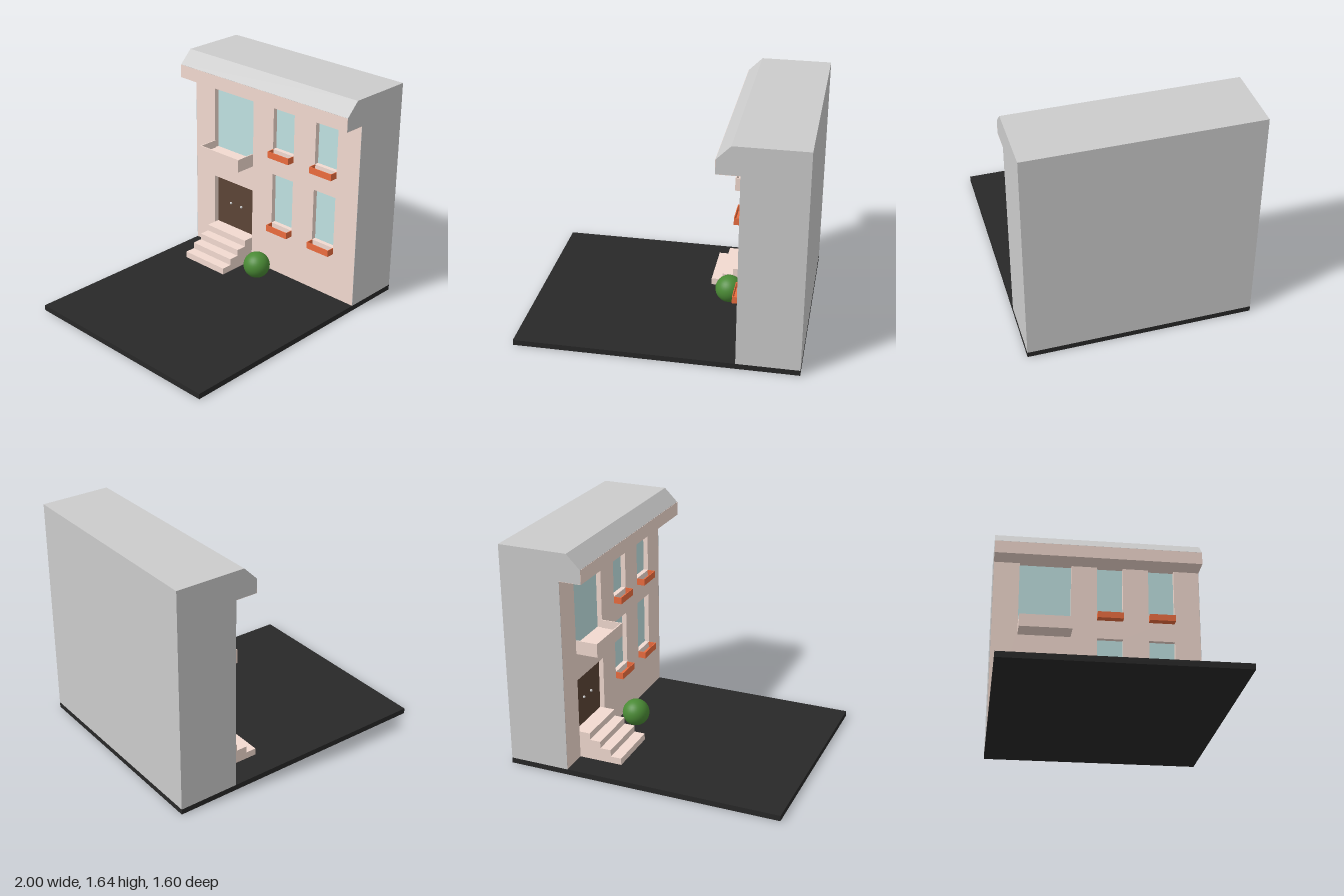
import * as THREE from 'three';

const mat = (color, extra = {}) => new THREE.MeshStandardMaterial({ color, ...extra });

export function createModel() {
  const model = new THREE.Group();
  const grey = mat(0xcccccc), pink = mat(0xf2dad0), glass = mat(0xc0e2e2);
  const orange = mat(0xec6d3f), brown = mat(0x5c4436), green = mat(0x4a8a35), dark = mat(0x282828);

  const add = (name, geometry, material, parent = model) => {
    const mesh = new THREE.Mesh(geometry, material);
    mesh.name = name;
    parent.add(mesh);
    return mesh;
  };
  // Box given by its limits on each axis
  const box = (name, x0, x1, y0, y1, z0, z1, material, parent) => {
    const g = new THREE.BoxGeometry(x1 - x0, y1 - y0, z1 - z0);
    g.translate((x0 + x1) / 2, (y0 + y1) / 2, (z0 + z1) / 2);
    return add(name, g, material, parent);
  };
  // Open-topped trough fixed to the facade
  const trough = (name, x0, y0, y1, z0, z1, floorY, t, material) => {
    const group = new THREE.Group();
    group.name = name;
    box('floor', x0, 0.56, y0, floorY, z0, z1, material, group);
    box('frontPanel', x0, x0 + t, floorY, y1, z0, z1, material, group);
    box('sidePanel', x0 + t, 0.56, floorY, y1, z0, z0 + t, material, group);
    box('sidePanel', x0 + t, 0.56, floorY, y1, z1 - t, z1, material, group);
    model.add(group);
  };

  // Ground and building core
  box('ground', -1, 1, 0, 0.04, -0.8, 0.8, dark);
  box('buildingBody', 0.6, 1, 0.04, 1.442, -0.8, 0.8, grey);

  // Openings as [z0, z1, y0, y1]
  const door = [-0.6, -0.2, 0.24, 0.64];
  const balconyDoor = [-0.6, -0.2, 0.88, 1.44];
  const windows = [];
  for (const z of [0, 0.4]) for (const y of [0.44, 1.04]) windows.push([z, z + 0.2, y, y + 0.4]);

  const rect = (Type, z0, z1, y0, y1) => {
    const p = new Type();
    p.moveTo(z0, y0).lineTo(z1, y0).lineTo(z1, y1).lineTo(z0, y1).closePath();
    return p;
  };

  // Facade with recessed openings, facing -x
  const wall = rect(THREE.Shape, -0.798, 0.798, 0.04, 1.442);
  for (const o of [door, balconyDoor, ...windows]) wall.holes.push(rect(THREE.Path, ...o));
  const wallGeometry = new THREE.ExtrudeGeometry(wall, { depth: 0.04, bevelEnabled: false });
  wallGeometry.rotateY(-Math.PI / 2).translate(0.6, 0, 0);
  add('facade', wallGeometry, pink);
  box('facadeEnd', 0.56, 0.6, 0.04, 1.442, -0.8, -0.798, grey);
  box('facadeEnd', 0.56, 0.6, 0.04, 1.442, 0.798, 0.8, grey);

  // Overhanging roof with a sloped front edge
  const roof = new THREE.Shape([
    [0.402, 1.442], [1, 1.442], [1, 1.64], [0.5, 1.64], [0.402, 1.542],
  ].map(([x, y]) => new THREE.Vector2(x, y)));
  const roofGeometry = new THREE.ExtrudeGeometry(roof, { depth: 1.6, bevelEnabled: false });
  add('roof', roofGeometry.translate(0, 0, -0.8), grey);
  box('fascia', 0.4, 0.402, 1.44, 1.54, -0.8, 0.8, pink);
  box('soffit', 0.402, 0.56, 1.44, 1.442, -0.8, 0.8, pink);

  // Door leaf, knobs and glazing at the back of the recesses
  const panel = (name, [z0, z1, y0, y1], material) => box(name, 0.596, 0.606, y0, y1, z0, z1, material);
  panel('door', door, brown);
  for (const s of [-1, 1]) {
    add('doorKnob', new THREE.SphereGeometry(0.01, 12, 8), grey).position.set(0.59, 0.44, -0.4 + s * 0.055);
  }
  panel('balconyDoorGlass', balconyDoor, glass);
  trough('balcony', 0.4, 0.84, 0.94, -0.6, -0.2, 0.88, 0.008, pink);

  // Windows with flower boxes
  for (const w of windows) {
    panel('windowGlass', w, glass);
    trough('windowBox', 0.5, w[2] - 0.05, w[2], w[0], w[1], w[2] - 0.045, 0.005, orange);
  }

  // Entrance steps
  for (let i = 0; i < 4; i++) {
    box('step', 0.24 + i * 0.08, i < 3 ? 0.32 + i * 0.08 : 0.56, 0.04, 0.09 + i * 0.05, -0.6, -0.2, pink);
  }

  // Round shrub
  add('shrub', new THREE.SphereGeometry(0.1, 32, 20), green).position.set(0.4, 0.14, 0);

  return model;
}
